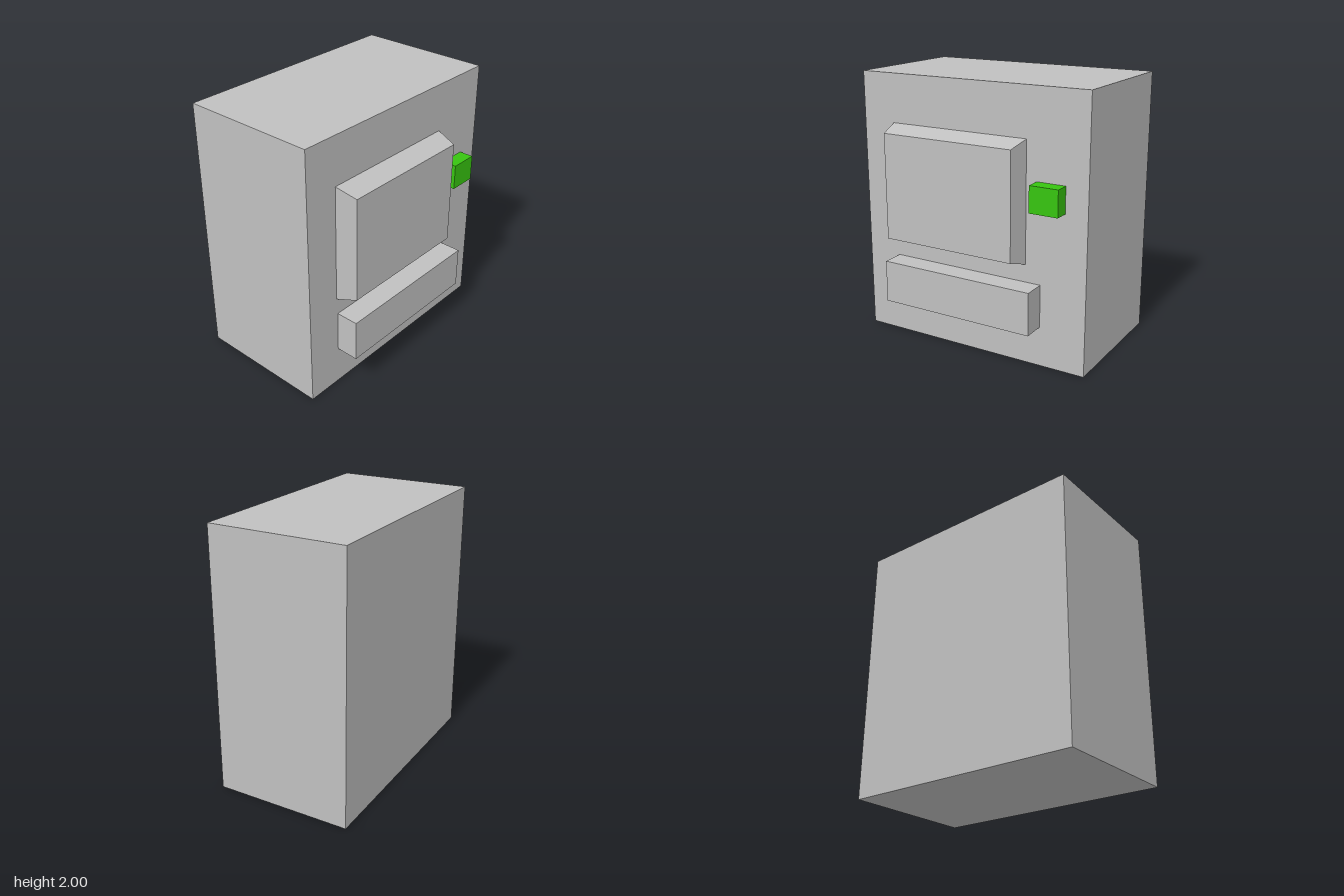
import * as THREE from 'three';

export function createModel() {
  const group = new THREE.Group();
  const grey = new THREE.MeshStandardMaterial({ name: 'grey casing', color: 0xc0c0c0 });
  const green = new THREE.MeshStandardMaterial({ name: 'green button', color: 0x37c410 });

  // Box given by its limits on each axis
  function box(name, [x0, x1], [y0, y1], [z0, z1], material) {
    const mesh = new THREE.Mesh(new THREE.BoxGeometry(x1 - x0, y1 - y0, z1 - z0), material);
    mesh.name = name;
    mesh.position.set((x0 + x1) / 2, (y0 + y1) / 2, (z0 + z1) / 2);
    group.add(mesh);
    return mesh;
  }

  const front = 0.435;
  box('cabinet', [-0.92, 0.92], [0, 2], [-0.605, front], grey);
  box('tray', [-0.646, 0.571], [0.297, 0.615], [front, 0.605], grey);
  box('button', [0.534, 0.752], [1.16, 1.353], [front, 0.545], green);

  // Window panel: its front face is drawn in to bevel the four sides
  const panel = box('windowPanel', [-0.657, 0.453], [0.747, 1.637], [front, 0.593], grey);
  const p = panel.geometry.attributes.position;
  for (let i = 0; i < p.count; i++) {
    if (p.getZ(i) > 0) {
      p.setX(i, p.getX(i) - Math.sign(p.getX(i)) * 0.031);
      p.setY(i, p.getY(i) - Math.sign(p.getY(i)) * 0.048);
    }
  }
  panel.geometry = panel.geometry.toNonIndexed();
  panel.geometry.computeVertexNormals();

  return group;
}
